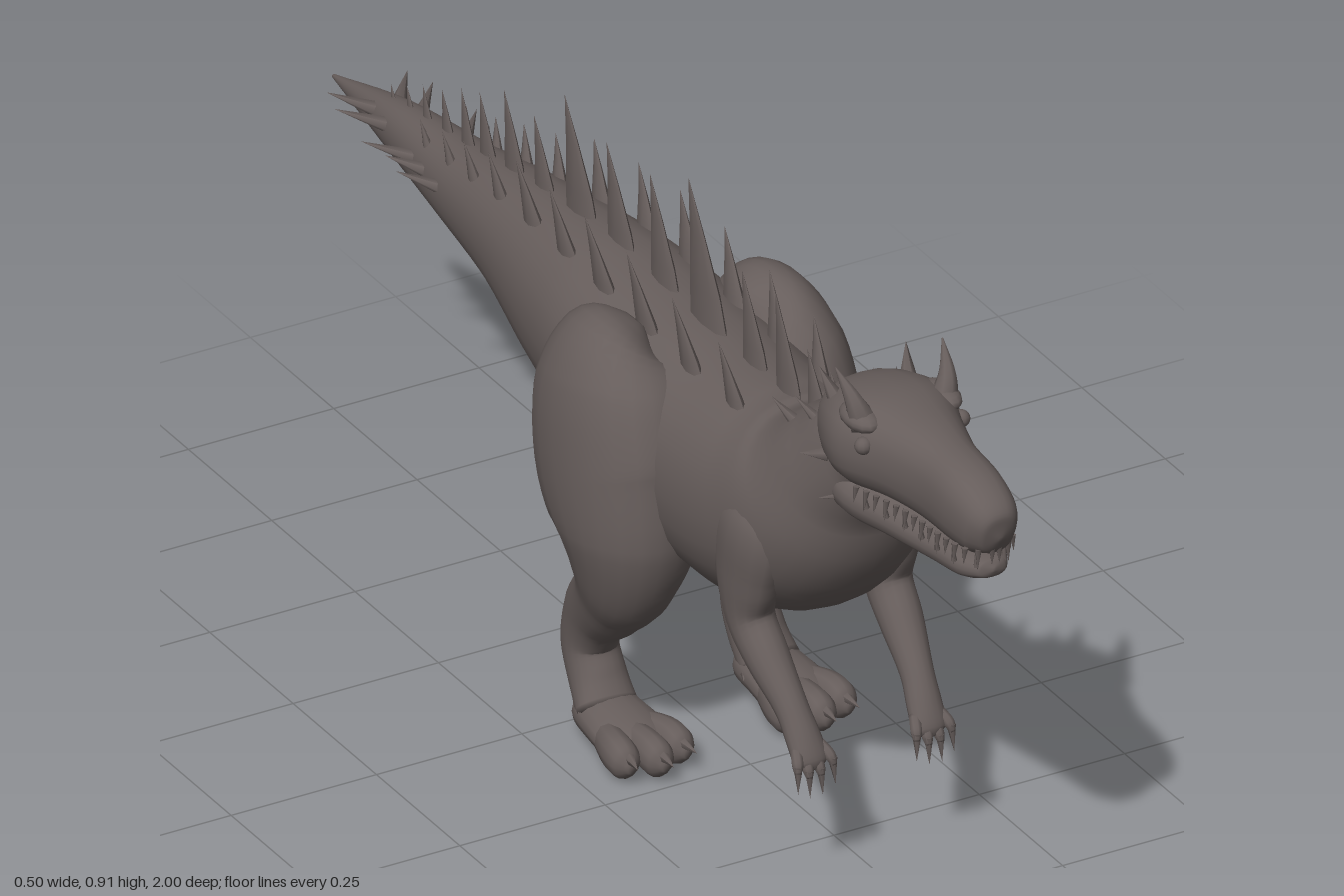
import * as THREE from 'three';

const V = (x, y, z) => new THREE.Vector3(x, y, z);

// Smooth skin through stations [x, y, z, sideRadius, otherRadius]; power > 2 squares the section off
function loft(stations, sides = 20, power = 2, steps = 5) {
  const path = new THREE.CatmullRomCurve3(stations.map((s) => V(s[0], s[1], s[2])));
  const radii = new THREE.CatmullRomCurve3(stations.map((s) => V(s[3], s[4], 0)), false, 'catmullrom', 0.5);
  const rings = (stations.length - 1) * steps;
  const pos = [], index = [];
  const soft = (v) => Math.sign(v) * Math.pow(Math.abs(v), 2 / power);
  for (let i = 0; i <= rings; i++) {
    const t = i / rings;
    const c = path.getPoint(t), r = radii.getPoint(t), T = path.getTangent(t);
    const X = V(1, 0, 0).addScaledVector(T, -T.x).normalize();
    const N = V(0, 0, 0).crossVectors(T, X);
    for (let j = 0; j < sides; j++) {
      const a = (j / sides) * Math.PI * 2;
      const p = c.clone()
        .addScaledVector(X, soft(Math.cos(a)) * Math.max(r.x, 0.001))
        .addScaledVector(N, soft(Math.sin(a)) * Math.max(r.y, 0.001));
      pos.push(p.x, p.y, p.z);
    }
  }
  const first = (rings + 1) * sides, last = first + 1;
  for (const t of [0, 1]) pos.push(...path.getPoint(t).toArray());
  for (let j = 0; j < sides; j++) {
    const k = (j + 1) % sides;
    for (let i = 0; i < rings; i++) {
      const a = i * sides + j, b = i * sides + k;
      index.push(a, b, b + sides, a, b + sides, a + sides);
    }
    index.push(first, k, j, last, rings * sides + j, rings * sides + k);
  }
  const g = new THREE.BufferGeometry();
  g.setAttribute('position', new THREE.Float32BufferAttribute(pos, 3));
  g.setIndex(index);
  g.computeVertexNormals();
  return g;
}

// Pointed cone from base to tip
function cone(base, tip, radius, sides = 6) {
  const d = tip.clone().sub(base);
  const g = new THREE.ConeGeometry(radius, d.length(), sides);
  g.applyQuaternion(new THREE.Quaternion().setFromUnitVectors(V(0, 1, 0), d.clone().normalize()));
  const m = base.clone().add(tip).multiplyScalar(0.5);
  return g.translate(m.x, m.y, m.z);
}

// Thin blade leaning towards its tip, long in z
function blade(base, tip, halfWidth, halfLength) {
  const g = new THREE.ConeGeometry(1, 1, 8, 3).translate(0, 0.5, 0);
  const p = g.attributes.position;
  for (let i = 0; i < p.count; i++) {
    const h = p.getY(i), swell = 1 + 0.7 * h * (1 - h);
    p.setXYZ(i,
      base.x + p.getX(i) * halfWidth * swell + (tip.x - base.x) * h,
      base.y + (tip.y - base.y) * h,
      base.z + p.getZ(i) * halfLength * swell + (tip.z - base.z) * Math.pow(h, 1.3));
  }
  g.computeVertexNormals();
  return g;
}

export function createModel() {
  const model = new THREE.Group();
  const hide = new THREE.MeshStandardMaterial({ color: 0x665d5b });
  hide.name = 'brown grey hide';
  const add = (name, geometry) => {
    const m = new THREE.Mesh(geometry, hide);
    m.name = name;
    model.add(m);
    return m;
  };

  // Tail, trunk and neck in one skin
  add('body', loft([
    [0, 0.575, -1, 0.003, 0.003], [0, 0.588, -0.8, 0.035, 0.042], [0, 0.588, -0.6, 0.062, 0.068],
    [0, 0.59, -0.4, 0.092, 0.1], [0, 0.573, -0.2, 0.13, 0.14], [0, 0.56, -0.05, 0.155, 0.15],
    [0, 0.535, 0.1, 0.165, 0.17], [0, 0.52, 0.27, 0.165, 0.18], [0, 0.538, 0.4, 0.16, 0.172],
    [0, 0.59, 0.49, 0.148, 0.15], [0, 0.675, 0.56, 0.115, 0.108], [0, 0.735, 0.62, 0.09, 0.09],
    [0, 0.76, 0.68, 0.07, 0.07],
  ], 28, 2.15));

  // Head
  add('skull', loft([
    [0, 0.755, 0.55, 0.045, 0.04], [0, 0.772, 0.6, 0.085, 0.07], [0, 0.784, 0.68, 0.106, 0.08],
    [0, 0.785, 0.76, 0.078, 0.075], [0, 0.78, 0.84, 0.056, 0.07], [0, 0.775, 0.92, 0.052, 0.065],
    [0, 0.765, 0.97, 0.044, 0.053], [0, 0.757, 0.993, 0.028, 0.034], [0, 0.755, 1, 0.004, 0.004],
  ], 24, 2.4));
  add('lowerJaw', loft([
    [0, 0.7, 0.57, 0.06, 0.035], [0, 0.684, 0.65, 0.084, 0.042], [0, 0.683, 0.76, 0.066, 0.034],
    [0, 0.685, 0.86, 0.05, 0.027], [0, 0.69, 0.94, 0.043, 0.022], [0, 0.694, 0.975, 0.025, 0.014],
    [0, 0.695, 0.982, 0.003, 0.003],
  ], 20, 2.4));

  // Middle row of back blades: [z, tip y, half length]
  const topAt = (z) => (z > 0.42 ? 0.715 + (z - 0.42) * 0.6 : z > -0.25 ? 0.695 : 0.695 + (z + 0.25) * 0.155);
  const row = [
    [0.51, 0.795, 0.018], [0.45, 0.8, 0.025], [0.37, 0.85, 0.04], [0.27, 0.84, 0.04], [0.13, 0.92, 0.058],
    [0, 0.87, 0.045], [-0.13, 0.86, 0.045], [-0.25, 0.88, 0.05], [-0.36, 0.8, 0.034], [-0.45, 0.8, 0.034],
    [-0.53, 0.76, 0.028], [-0.59, 0.74, 0.024], [-0.65, 0.71, 0.022], [-0.71, 0.69, 0.02],
    [-0.76, 0.665, 0.018], [-0.81, 0.645, 0.016], [-0.855, 0.615, 0.013],
  ];
  row.forEach(([z, y, len]) => add('backBlade',
    blade(V(0, topAt(z) - 0.025, z), V(0, y, z - len * 1.15), 0.003 + len * 0.2, len)));

  for (const s of [1, -1]) {
    const P = (x, y, z) => V(s * x, y, z);
    const limb = (list) => list.map(([x, ...rest]) => [s * x, ...rest]);

    // Outer rows of back blades: [z, x, height]
    const sideRow = [
      [0.34, 0.07, 0.08], [0.21, 0.072, 0.09], [0.08, 0.072, 0.1], [-0.05, 0.07, 0.1], [-0.17, 0.065, 0.09],
      [-0.29, 0.055, 0.085], [-0.4, 0.046, 0.065], [-0.49, 0.04, 0.055], [-0.57, 0.034, 0.045], [-0.65, 0.028, 0.04],
    ];
    sideRow.forEach(([z, x, h]) => add('sideBlade',
      blade(P(x, topAt(z) - 0.04, z), P(x + 0.012, topAt(z) + h, z - h * 0.55), 0.012, h * 0.36)));

    // Tail spikes pointing out and back: [base x, z, tip x, z]
    [[0.055, -0.57, 0.1, -0.64], [0.05, -0.63, 0.09, -0.69], [0.042, -0.67, 0.1, -0.745],
      [0.03, -0.78, 0.085, -0.85], [0.022, -0.83, 0.07, -0.9]].forEach(([bx, bz, tx, tz]) =>
      add('tailSpike', cone(P(bx - 0.01, 0.6, bz), P(tx, 0.615, tz), 0.014)));

    // Brow, eye, horns and cheek spikes
    const brow = add('brow', new THREE.SphereGeometry(1, 14, 10));
    brow.scale.set(0.026, 0.018, 0.045);
    brow.position.copy(P(0.07, 0.838, 0.7));
    const eye = add('eye', new THREE.SphereGeometry(0.014, 12, 8));
    eye.position.copy(P(0.084, 0.81, 0.735));
    add('browHorn', loft(limb([
      [0.068, 0.83, 0.71, 0.024, 0.024], [0.08, 0.868, 0.7, 0.014, 0.016], [0.092, 0.912, 0.665, 0.001, 0.001]]), 8));
    add('neckHorn', cone(P(0.06, 0.82, 0.62), P(0.075, 0.872, 0.585), 0.016));
    add('cheekSpike', cone(P(0.085, 0.745, 0.63), P(0.12, 0.745, 0.605), 0.012));
    add('jawSpike', cone(P(0.065, 0.68, 0.65), P(0.095, 0.668, 0.62), 0.01));
    [[0.08, 0.77, 0.57], [0.08, 0.735, 0.5]].forEach(([x, y, z]) =>
      add('neckSpike', cone(P(x - 0.02, y - 0.01, z), P(x + 0.008, y + 0.03, z - 0.035), 0.012)));

    // Teeth follow the mouth edge round to the nose
    const edge = new THREE.CatmullRomCurve3([P(0.088, 0, 0.72), P(0.06, 0, 0.82), P(0.05, 0, 0.92),
      P(0.038, 0, 0.968), P(0.006, 0, 0.985)]);
    for (let i = 0; i <= 14; i++) {
      const p = edge.getPointAt(i / 14), len = i % 2 ? 0.03 : 0.022;
      add('upperTooth', cone(V(p.x, 0.734, p.z), V(p.x * 1.06, 0.728 - len, p.z), 0.0055, 5));
      if (i % 2) add('lowerTooth', cone(V(p.x * 0.94, 0.7, p.z - 0.008), V(p.x, 0.735, p.z - 0.008), 0.005, 5));
    }

    // Hind leg
    add('hindLeg', loft(limb([
      [0.09, 0.7, 0.06, 0.015, 0.02], [0.115, 0.675, 0.06, 0.075, 0.1], [0.133, 0.61, 0.07, 0.1, 0.15],
      [0.14, 0.5, 0.095, 0.108, 0.165], [0.145, 0.4, 0.13, 0.1, 0.135], [0.148, 0.325, 0.125, 0.076, 0.1],
      [0.144, 0.265, 0.09, 0.056, 0.072], [0.14, 0.2, 0.03, 0.043, 0.058], [0.137, 0.14, 0.007, 0.041, 0.05],
      [0.137, 0.09, 0.03, 0.044, 0.045], [0.14, 0.05, 0.065, 0.05, 0.035],
    ]), 22, 2.1));
    add('foot', loft(limb([
      [0.138, 0.042, 0.005, 0.02, 0.02], [0.138, 0.043, 0.035, 0.046, 0.037], [0.14, 0.043, 0.09, 0.056, 0.036],
      [0.14, 0.038, 0.15, 0.058, 0.03], [0.14, 0.034, 0.185, 0.035, 0.02],
    ]), 18));
    for (const k of [-1, 0, 1]) {
      const x = 0.14 + k * 0.045, z = k ? 0.205 : 0.225;
      add('toe', loft(limb([
        [0.14 + k * 0.03, 0.037, 0.11, 0.022, 0.025], [x, 0.04, z - 0.03, 0.026, 0.032],
        [x + k * 0.002, 0.036, z, 0.023, 0.027], [x + k * 0.003, 0.034, z + 0.016, 0.006, 0.008]]), 12));
      add('toeClaw', cone(P(x, 0.05, z - 0.005), P(x + k * 0.006, 0.046, z + 0.04), 0.012));
    }
    add('dewClaw', cone(P(0.1, 0.05, 0.06), P(0.082, 0.045, 0.085), 0.011));

    // Arm
    add('arm', loft(limb([
      [0.1, 0.62, 0.47, 0.025, 0.03], [0.115, 0.56, 0.465, 0.045, 0.075], [0.12, 0.47, 0.45, 0.04, 0.07],
      [0.118, 0.395, 0.455, 0.036, 0.046], [0.115, 0.345, 0.5, 0.034, 0.036], [0.108, 0.285, 0.56, 0.026, 0.026],
      [0.104, 0.245, 0.59, 0.028, 0.022], [0.102, 0.215, 0.61, 0.028, 0.016], [0.102, 0.203, 0.615, 0.012, 0.008],
    ]), 16));
    [-0.028, -0.009, 0.01, 0.028].forEach((dx, i) => {
      const drop = i % 3 ? 0 : 0.012;
      add('finger', loft(limb([
        [0.102 + dx * 0.7, 0.235, 0.598, 0.009, 0.01], [0.102 + dx, 0.208 + drop, 0.618, 0.009, 0.01],
        [0.102 + dx * 1.1, 0.195 + drop, 0.624, 0.005, 0.006]]), 8));
      add('fingerClaw', cone(P(0.102 + dx * 1.05, 0.207 + drop, 0.622), P(0.102 + dx * 1.15, 0.162 + drop, 0.627), 0.0075));
    });
  }
  return model;
}
